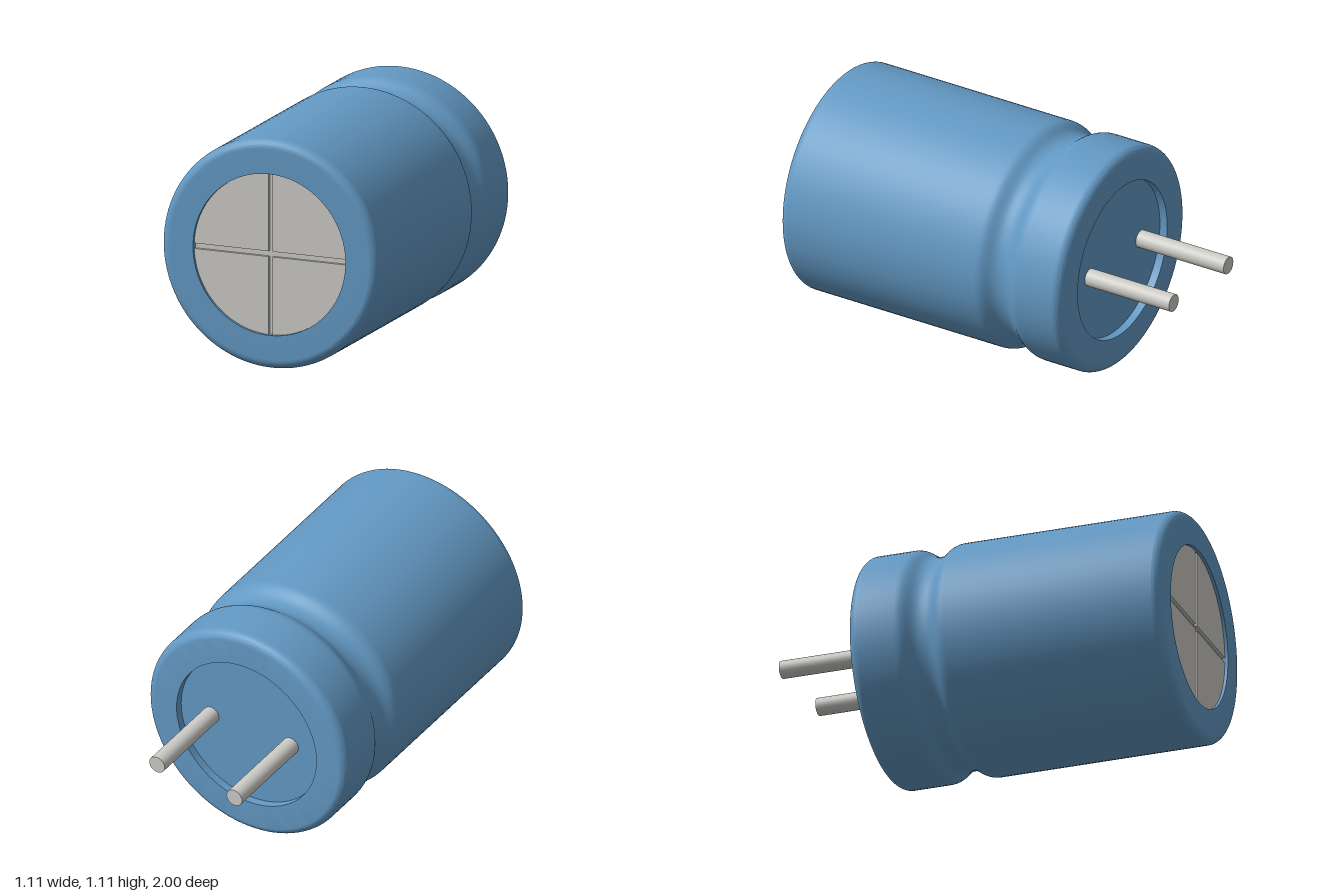
import * as THREE from 'three';
import { toCreasedNormals } from 'three/addons/utils/BufferGeometryUtils.js';

const R = 0.555;        // sleeve radius
const HOLE = 0.39;      // opening radius at both ends
const BACK = -0.553, FRONT = 1;

export function createModel() {
  const group = new THREE.Group();
  const blue = new THREE.MeshStandardMaterial({ color: 0x6399c4 });
  const metal = new THREE.MeshStandardMaterial({ color: 0xcccbc6 });

  const add = (name, geometry, material, x = 0, z = 0) => {
    const mesh = new THREE.Mesh(geometry, material);
    mesh.name = name;
    mesh.position.set(x, R, z);
    group.add(mesh);
    return mesh;
  };

  // Sleeve with rounded rims, crimped groove and recessed back seal
  const f = 0.045;
  const profile = new THREE.Path();
  profile.moveTo(0, BACK + 0.04);
  profile.lineTo(HOLE, BACK + 0.04);
  profile.lineTo(HOLE, BACK);
  profile.lineTo(R - f, BACK);
  profile.absarc(R - f, BACK + f, f, -Math.PI / 2, 0);
  profile.lineTo(R, -0.325);
  profile.bezierCurveTo(R, -0.265, 0.508, -0.265, 0.508, -0.2);
  profile.bezierCurveTo(0.508, -0.135, R, -0.135, R, -0.075);
  profile.lineTo(R, FRONT - f);
  profile.absarc(R - f, FRONT - f, f, 0, Math.PI / 2);
  profile.lineTo(HOLE, FRONT);
  profile.lineTo(HOLE, FRONT - 0.035);
  const sleeve = new THREE.LatheGeometry(profile.getPoints(10), 96);
  sleeve.rotateX(Math.PI / 2);
  add('sleeve', toCreasedNormals(sleeve, 0.7), blue);

  // Metal end cap: a floor with four raised quadrants leaving a cross groove
  add('capFloor', new THREE.CircleGeometry(HOLE, 96), metal, 0, FRONT - 0.03);
  const gapX = 0.01, gapY = 0.013;
  for (const sx of [1, -1]) {
    for (const sy of [1, -1]) {
      const a0 = Math.asin(gapY / HOLE), a1 = Math.acos(gapX / HOLE);
      const quadrant = new THREE.Shape([new THREE.Vector2(sx * gapX, sy * gapY)]);
      for (let i = 0; i <= 24; i++) {
        const a = a0 + (a1 - a0) * i / 24;
        quadrant.lineTo(sx * HOLE * Math.cos(a), sy * HOLE * Math.sin(a));
      }
      const plate = new THREE.ExtrudeGeometry(quadrant, { depth: 0.015, bevelEnabled: false });
      add('capQuadrant', plate, metal, 0, FRONT - 0.03);
    }
  }

  // Two lead pins of slightly different length
  for (const [name, x, end] of [['rightPin', -0.222, -1], ['leftPin', 0.222, -0.98]]) {
    const start = BACK + 0.06;
    const pin = new THREE.CylinderGeometry(0.043, 0.043, start - end, 32);
    pin.rotateX(Math.PI / 2);
    add(name, pin, metal, x, (start + end) / 2);
  }

  return group;
}
